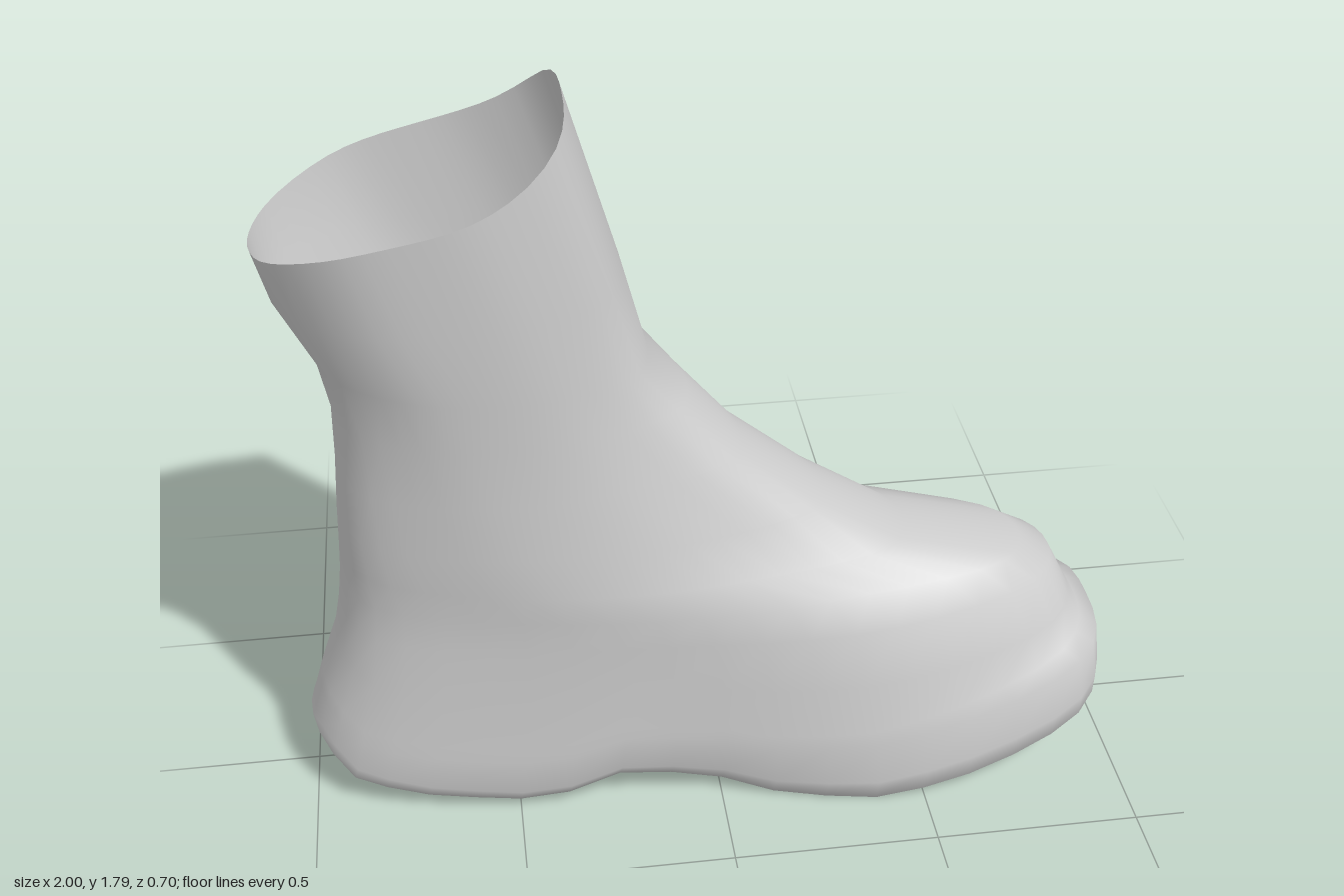
import * as THREE from 'three';

const { lerp } = THREE.MathUtils;

// Underside of the sole, seen from the side: [x, y] from heel to toe
const SOLE = [[-1, 0.19], [-0.9, 0.09], [-0.7, 0.045], [-0.47, 0.025], [-0.37, 0.045], [-0.29, 0.09],
  [-0.2, 0.09], [0, 0.05], [0.14, 0.006], [0.38, 0], [0.65, 0.045], [0.9, 0.11], [1, 0.16]];

function soleY(x) {
  let i = 1;
  while (i < SOLE.length - 1 && SOLE[i][0] < x) i++;
  const [x0, y0] = SOLE[i - 1], [x1, y1] = SOLE[i];
  return lerp(y0, y1, THREE.MathUtils.clamp((x - x0) / (x1 - x0), 0, 1));
}

// Where along each ring (heel 0, toe 1) its half widths are given
const STATIONS = [0.05, 0.25, 0.5, 0.75, 0.96];

// Rings from sole to rim: heel x, heel y, toe x, toe y, how far it follows the sole, half widths
const RINGS = [
  [-1, 0.19, 1, 0.16, 1, [0.19, 0.255, 0.29, 0.345, 0.235]],
  [-0.99, 0.215, 1, 0.21, 0.93, [0.2, 0.28, 0.315, 0.348, 0.24]],
  [-0.97, 0.28, 0.99, 0.315, 0.8, [0.2, 0.28, 0.315, 0.335, 0.225]],
  [-0.96, 0.31, 0.95, 0.335, 0.75, [0.195, 0.275, 0.31, 0.322, 0.2]],
  [-0.92, 0.42, 0.92, 0.39, 0.4, [0.19, 0.27, 0.3, 0.3, 0.175]],
  [-0.9, 0.52, 0.87, 0.49, 0.15, [0.18, 0.265, 0.29, 0.265, 0.14]],
  [-0.89, 0.6, 0.79, 0.535, 0, [0.175, 0.265, 0.285, 0.225, 0.12]],
  [-0.885, 0.68, 0.49, 0.61, 0, [0.17, 0.26, 0.275, 0.22, 0.12]],
  [-0.88, 0.78, 0.28, 0.74, 0, [0.17, 0.255, 0.265, 0.215, 0.12]],
  [-0.87, 0.92, 0.08, 0.9, 0, [0.16, 0.25, 0.26, 0.21, 0.12]],
  [-0.865, 1.08, -0.05, 1.05, 0, [0.15, 0.25, 0.265, 0.22, 0.125]],
  [-0.89, 1.22, -0.14, 1.16, 0, [0.145, 0.25, 0.275, 0.235, 0.135]],
  [-0.97, 1.37, -0.195, 1.38, 0, [0.13, 0.255, 0.285, 0.26, 0.155]],
];
const RIM = [-1, 1.49, -0.31, 1.79, 0, [0.13, 0.25, 0.285, 0.275, 0.2]];

// Closed outline of one ring; sag lowers its front half
function ring([xb, yb, xf, yf, follow, widths], widthScale = 1, sag = 0) {
  const side = STATIONS.map((u, i) => new THREE.Vector3(u, 0, widths[i]));
  const mirrored = side.map(p => new THREE.Vector3(p.x, 0, -p.z)).reverse();
  const curve = new THREE.CatmullRomCurve3(
    [new THREE.Vector3(0, 0, 0), ...side, new THREE.Vector3(1, 0, 0), ...mirrored], true);
  return curve.getPoints(48).slice(0, 48).map(({ x: u, z }) => {
    const x = lerp(xb, xf, u);
    const y = lerp(yb, yf, u) + follow * (soleY(lerp(-1, 1, u)) - lerp(0.19, 0.16, u))
      - sag * u ** 3 * (1 - u);
    // Slight bulge of the waist to one side
    const shift = 0.022 * follow * Math.exp(-(((x + 0.05) / 0.25) ** 2));
    return new THREE.Vector3(x, y, z * widthScale - shift);
  });
}

// Skin over a stack of rings
function loft(rings, name) {
  const n = rings[0].length, index = [];
  for (let r = 0; r < rings.length - 1; r++) {
    for (let i = 0; i < n; i++) {
      const a = r * n + i, b = r * n + (i + 1) % n;
      index.push(a, b, b + n, a, b + n, a + n);
    }
  }
  const geometry = new THREE.BufferGeometry().setFromPoints(rings.flat());
  geometry.setIndex(index);
  geometry.computeVertexNormals();
  const material = new THREE.MeshStandardMaterial({ color: 0xcccccc, side: THREE.DoubleSide });
  const mesh = new THREE.Mesh(geometry, material);
  mesh.name = name;
  return mesh;
}

export function createModel() {
  const boot = new THREE.Group();
  boot.name = 'boot';

  // One smooth skin: underside from its centre line outward, then foot and shaft up to the open rim
  const underside = [0, 0.5, 0.92].map(scale => ring(RINGS[0], scale));
  const upper = RINGS.map(r => ring(r));
  boot.add(loft([...underside, ...upper, ring(RIM, 1, 0.6)], 'bootSkin'));
  return boot;
}
